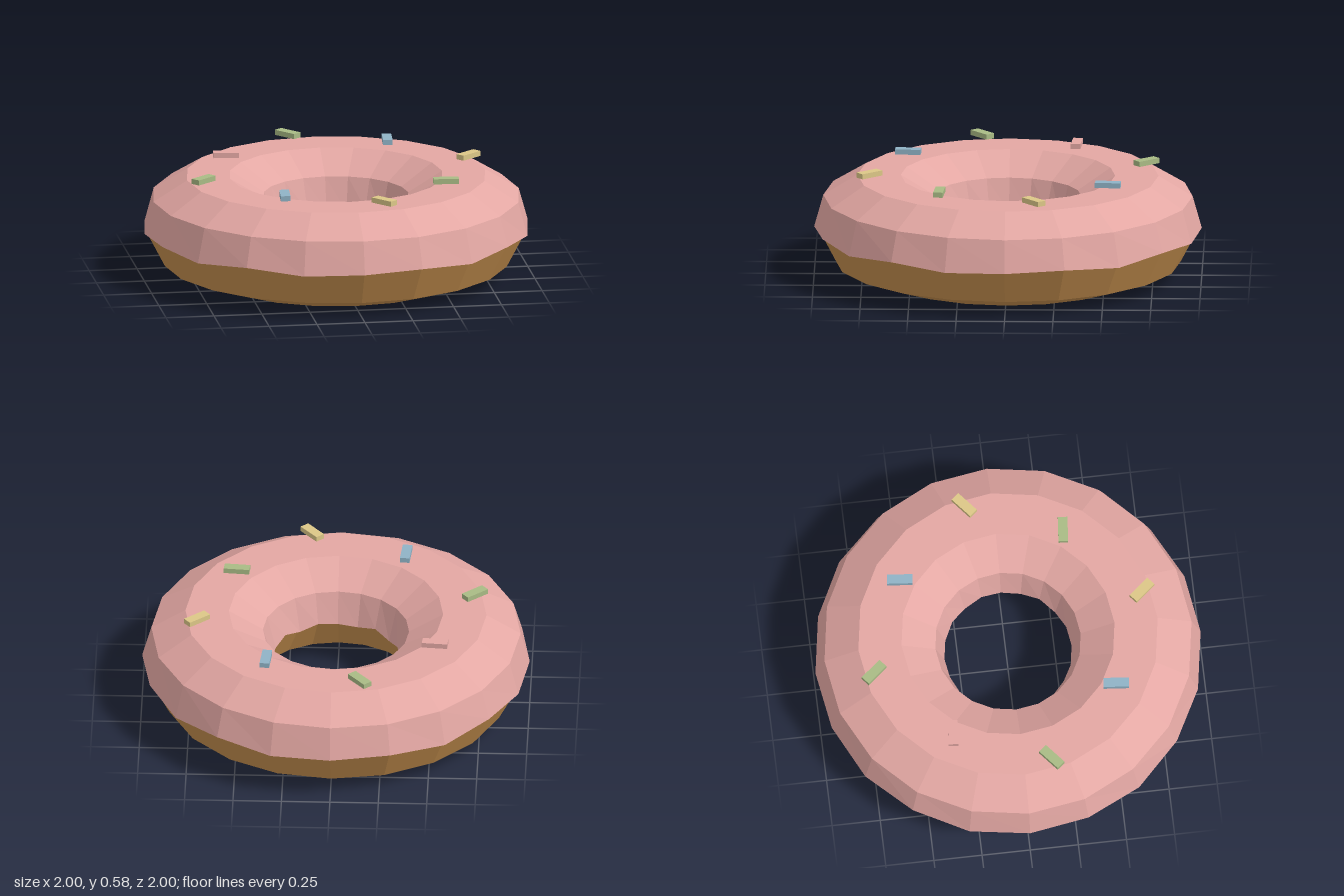
import * as THREE from 'three';

const SIDES = 20;

function paint(name, color, options = {}) {
  const m = new THREE.MeshStandardMaterial({ color, flatShading: true, ...options });
  m.name = name;
  return m;
}

function ring(profile) {
  return new THREE.LatheGeometry(profile.map(([r, y]) => new THREE.Vector2(r, y)), SIDES);
}

export function createModel() {
  const group = new THREE.Group();
  group.name = 'donut';

  const doughMat = paint('dough brown', 0xc8914f);
  const icingMat = paint('icing pink', 0xe3a7a3, { side: THREE.DoubleSide });
  const green = paint('sprinkle green', 0xa9bb85);
  const blue = paint('sprinkle blue', 0x8fb3c6);
  const yellow = paint('sprinkle yellow', 0xdcc787);
  const pink = paint('sprinkle pink', 0xe3a7a3);

  function add(name, geometry, material) {
    const mesh = new THREE.Mesh(geometry, material);
    mesh.name = name;
    group.add(mesh);
    return mesh;
  }

  // Dough: flattened eight-sided ring
  const section = [];
  for (let i = 0; i <= 8; i++) {
    const a = (i / 8) * Math.PI * 2;
    section.push([0.663 + 0.325 * Math.cos(a), 0.26 + 0.26 * Math.sin(a)]);
  }
  add('dough', ring(section), doughMat);

  // Icing: open shell over the upper half, with wavy lower edges
  const shell = [[1, 0.252], [0.953, 0.42], [0.777, 0.528], [0.553, 0.528], [0.377, 0.42], [0.33, 0.252]];
  const icing = ring(shell);
  const pos = icing.attributes.position;
  for (let i = 0; i <= SIDES; i++) {
    const wave = 0.013 * Math.sin((8 * i * Math.PI * 2) / SIDES);
    for (const j of [0, shell.length - 1]) {
      const k = i * shell.length + j;
      pos.setY(k, pos.getY(k) + wave);
    }
  }
  icing.computeVertexNormals();
  add('icing', icing, icingMat);

  // Sprinkles: eight small bars, alternating between two radii
  const bar = new THREE.BoxGeometry(0.132, 0.027, 0.05);
  [green, blue, yellow, green, yellow, blue, green, pink].forEach((material, i) => {
    const place = THREE.MathUtils.degToRad(-101.5 + 45 * i);
    const r = i % 2 ? 0.626 : 0.727;
    const mesh = add('sprinkle' + (i + 1), bar, material);
    mesh.position.set(r * Math.cos(place), 0.567, r * Math.sin(place));
    mesh.rotation.y = -THREE.MathUtils.degToRad(50 + 45 * i);
  });

  return group;
}
